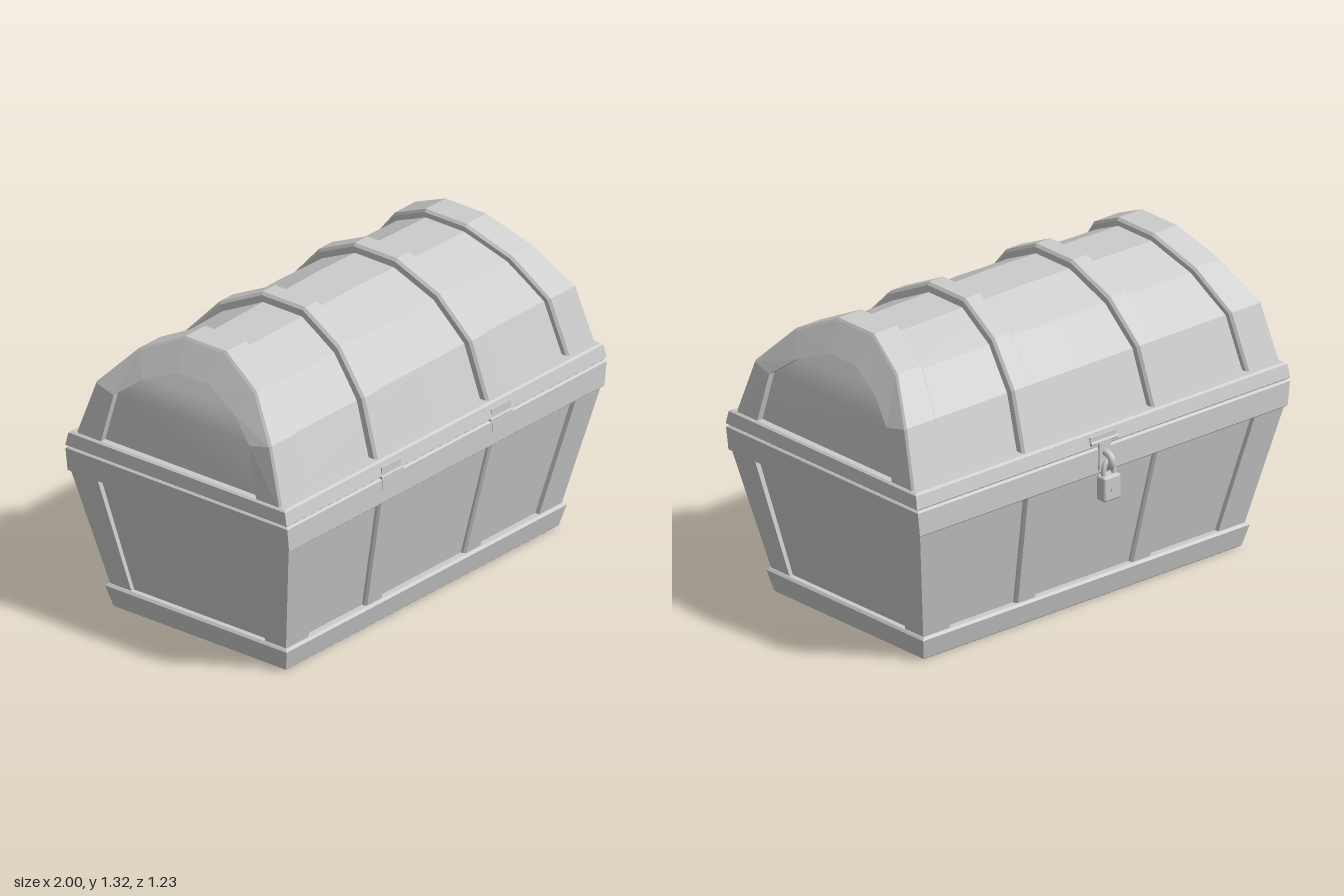
import * as THREE from 'three';
import { RoundedBoxGeometry } from 'three/addons/geometries/RoundedBoxGeometry.js';

const flat = new THREE.MeshStandardMaterial({ color: 0xcccccc, flatShading: true });
const smooth = new THREE.MeshStandardMaterial({ color: 0xcccccc, side: THREE.DoubleSide });

function add(parent, name, geometry, material = flat) {
  const mesh = new THREE.Mesh(geometry, material);
  mesh.name = name;
  parent.add(mesh);
  return mesh;
}

// Closed solid through a row of equal-sized rings; turned outward by its signed volume
function loft(rings) {
  const n = rings[0].length, last = rings.length - 1, tris = [];
  for (let r = 0; r < last; r++) {
    for (let i = 0; i < n; i++) {
      const j = (i + 1) % n;
      const a = rings[r][i], b = rings[r][j], c = rings[r + 1][j], d = rings[r + 1][i];
      tris.push([a, b, c], [a, c, d]);
    }
  }
  for (let i = 1; i < n - 1; i++) {
    tris.push([rings[0][0], rings[0][i + 1], rings[0][i]]);
    tris.push([rings[last][0], rings[last][i], rings[last][i + 1]]);
  }
  let volume = 0;
  for (const [a, b, c] of tris) {
    volume += a[0] * (b[1] * c[2] - b[2] * c[1]) - a[1] * (b[0] * c[2] - b[2] * c[0])
      + a[2] * (b[0] * c[1] - b[1] * c[0]);
  }
  if (volume < 0) tris.forEach(t => t.reverse());
  const geo = new THREE.BufferGeometry();
  geo.setAttribute('position', new THREE.Float32BufferAttribute(tris.flat(2), 3));
  geo.computeVertexNormals();
  return geo;
}

const rect = (y, x0, x1, z0, z1) => [[x0, y, z0], [x1, y, z0], [x1, y, z1], [x0, y, z1]];
// Stacked rectangles, each level given as [y, half width, half depth]
const frustum = levels => loft(levels.map(([y, x, z]) => rect(y, -x, x, -z, z)));

// Arch outlines as half depth and height, from the rim up to the crown
const outerArch = [[0.555, 0.79], [0.47, 1.05], [0.315, 1.22], [0.11, 1.32]];
const innerArch = [[0.41, 0.79], [0.355, 1.02], [0.24, 1.11], [0.08, 1.18]];
const steps = [0, 1, 2, 3, 4, 5, 6, 7];
const level = i => (i < 4 ? i : 7 - i);
const side = i => (i < 4 ? 1 : -1);

// Arch point i at width x, sunk by an inset
function archPoint(x, i, inset = 0, arch = outerArch) {
  const [z, y] = arch[level(i)];
  return [x, 0.79 + (y - 0.79) * (1 - inset / 0.53), side(i) * z * (1 - inset / 0.555)];
}

// Lid ends lean inward as they rise
function endX(y) {
  return y < 1.03 ? 0.985 - (y - 0.79) * 0.085 : 0.965 - (y - 1.03) * 0.5;
}

export function createModel() {
  const root = new THREE.Group();
  root.name = 'chest';
  const chest = new THREE.Group();
  chest.name = 'chestParts';
  chest.position.z = 0.03;
  root.add(chest);

  // Tapered body, base moulding and the two rims
  add(chest, 'body', frustum([[0.02, 0.825, 0.42], [0.1, 0.842, 0.438], [0.65, 0.96, 0.555]]));
  add(chest, 'baseMoulding', frustum([[0, 0.845, 0.445], [0.006, 0.852, 0.452], [0.096, 0.875, 0.475], [0.106, 0.866, 0.466]]));
  add(chest, 'lowerRim', frustum([[0.615, 0.975, 0.572], [0.622, 0.985, 0.58], [0.725, 0.997, 0.581], [0.731, 0.99, 0.574]]));
  add(chest, 'rimGap', frustum([[0.72, 0.983, 0.567], [0.745, 0.983, 0.567]]));
  add(chest, 'lidRim', frustum([[0.735, 0.992, 0.572], [0.741, 1.0, 0.579], [0.797, 0.995, 0.567], [0.804, 0.985, 0.557]]));

  // Corner posts and body straps
  for (const sx of [-1, 1]) {
    for (const sz of [-1, 1]) {
      add(chest, 'cornerPost', loft([
        rect(0.09, sx * 0.717, sx * 0.858, sz * 0.347, sz * 0.457),
        rect(0.63, sx * 0.822, sx * 0.978, sz * 0.432, sz * 0.572),
      ]));
      const section = (y, x0, x1, z) => [
        [sx * x0, y, sz * (z - 0.04)], [sx * x0, y, sz * (z - 0.01)],
        [sx * (x0 + 0.008), y, sz * z], [sx * (x1 - 0.008), y, sz * z],
        [sx * x1, y, sz * (z - 0.01)], [sx * x1, y, sz * (z - 0.04)],
      ];
      add(chest, 'bodyStrap', loft([section(0.09, 0.255, 0.36, 0.457), section(0.63, 0.29, 0.405, 0.572)]));
    }
  }

  // Faceted lid shell, swelling a little at the middle
  const shellRing = (s, inset) => steps.map(i => {
    const y = outerArch[level(i)][1];
    return archPoint(s * (endX(y) - 0.08), i, inset);
  });
  add(chest, 'lidShell', loft([shellRing(-1, 0.048), shellRing(0, 0.035), shellRing(1, 0.048)]));

  const strapInner = [0.29, 0.28, 0.26, 0.24], strapOuter = [0.405, 0.39, 0.36, 0.335];
  const endInner = [0.81, 0.785, 0.725, 0.68];
  for (const s of [-1, 1]) {
    // Middle lid strap with bevelled edges
    add(chest, 'lidStrap', loft(steps.map(i => {
      const a = strapInner[level(i)], b = strapOuter[level(i)];
      return [[a, 0.06], [a, 0.012], [a + 0.01, 0], [b - 0.01, 0], [b, 0.012], [b, 0.06]]
        .map(([x, inset]) => archPoint(s * x, i, inset));
    })));

    // End strap wrapping the lid edge onto the end face
    add(chest, 'lidEndStrap', loft(steps.map(i => {
      const a = endInner[level(i)];
      const xo = endX(outerArch[level(i)][1]), xi = endX(innerArch[level(i)][1]);
      return [
        archPoint(s * a, i, 0.07), archPoint(s * a, i, 0.025), archPoint(s * (a + 0.01), i, 0.014),
        archPoint(s * (xo - 0.008), i, 0.014), archPoint(s * xo, i, 0.024),
        archPoint(s * xi, i, 0, innerArch), archPoint(s * (xi - 0.035), i, 0, innerArch),
      ];
    })));

    // Recessed end panel
    const points = [], index = [];
    innerArch.forEach(([z, y], k) => {
      const x = s * (endX(y) - 0.028);
      points.push(x, y, z + 0.004, x, y, -z - 0.004);
      const q = 2 * k;
      if (k < 3) index.push(...(s > 0 ? [q, q + 1, q + 3, q, q + 3, q + 2] : [q, q + 3, q + 1, q, q + 2, q + 3]));
    });
    const panel = new THREE.BufferGeometry();
    panel.setAttribute('position', new THREE.Float32BufferAttribute(points, 3));
    panel.setIndex(index);
    panel.computeVertexNormals();
    add(chest, 'lidEndPanel', panel, smooth);

    // Hinge: two leaves and a knuckle
    add(chest, 'hingeLeaf', new THREE.BoxGeometry(0.12, 0.045, 0.006)).position.set(s * 0.343, 0.703, 0.58);
    add(chest, 'hingeLeaf', new THREE.BoxGeometry(0.12, 0.04, 0.006)).position.set(s * 0.343, 0.757, 0.575);
    const knuckle = add(chest, 'hingeKnuckle', new THREE.CylinderGeometry(0.009, 0.009, 0.135, 10));
    knuckle.rotation.z = Math.PI / 2;
    knuckle.position.set(s * 0.34, 0.733, 0.575);
  }

  // Hasp on the back
  const pin = add(chest, 'haspPin', new THREE.CylinderGeometry(0.009, 0.009, 0.14, 10));
  pin.rotation.z = Math.PI / 2;
  pin.position.set(0, 0.757, -0.579);
  add(chest, 'haspPlate', new THREE.BoxGeometry(0.14, 0.04, 0.01)).position.set(0, 0.765, -0.574);
  add(chest, 'haspStrap', new THREE.BoxGeometry(0.06, 0.12, 0.01)).position.set(0, 0.695, -0.584);

  const tube = (name, pts, radius) => add(chest, name, new THREE.TubeGeometry(
    new THREE.CatmullRomCurve3(pts.map(p => new THREE.Vector3(...p))), 24, radius, 10), smooth);
  // Staple and padlock
  tube('staple', [[0, 0.708, -0.575], [0, 0.708, -0.605], [0, 0.695, -0.625], [0, 0.672, -0.629], [0, 0.653, -0.614], [0, 0.65, -0.58]], 0.015);
  tube('shackle', [[-0.026, 0.6, -0.609], [-0.026, 0.645, -0.609], [-0.016, 0.668, -0.609], [0, 0.676, -0.609],
    [0.016, 0.668, -0.609], [0.026, 0.645, -0.609], [0.026, 0.6, -0.609]], 0.011);
  add(chest, 'padlockBody', new RoundedBoxGeometry(0.09, 0.11, 0.056, 2, 0.012), smooth).position.set(0, 0.565, -0.609);
  const keyhole = add(chest, 'keyholeCover', new THREE.CylinderGeometry(0.012, 0.012, 0.006, 12));
  keyhole.rotation.x = Math.PI / 2;
  keyhole.position.set(0, 0.56, -0.638);

  return root;
}
